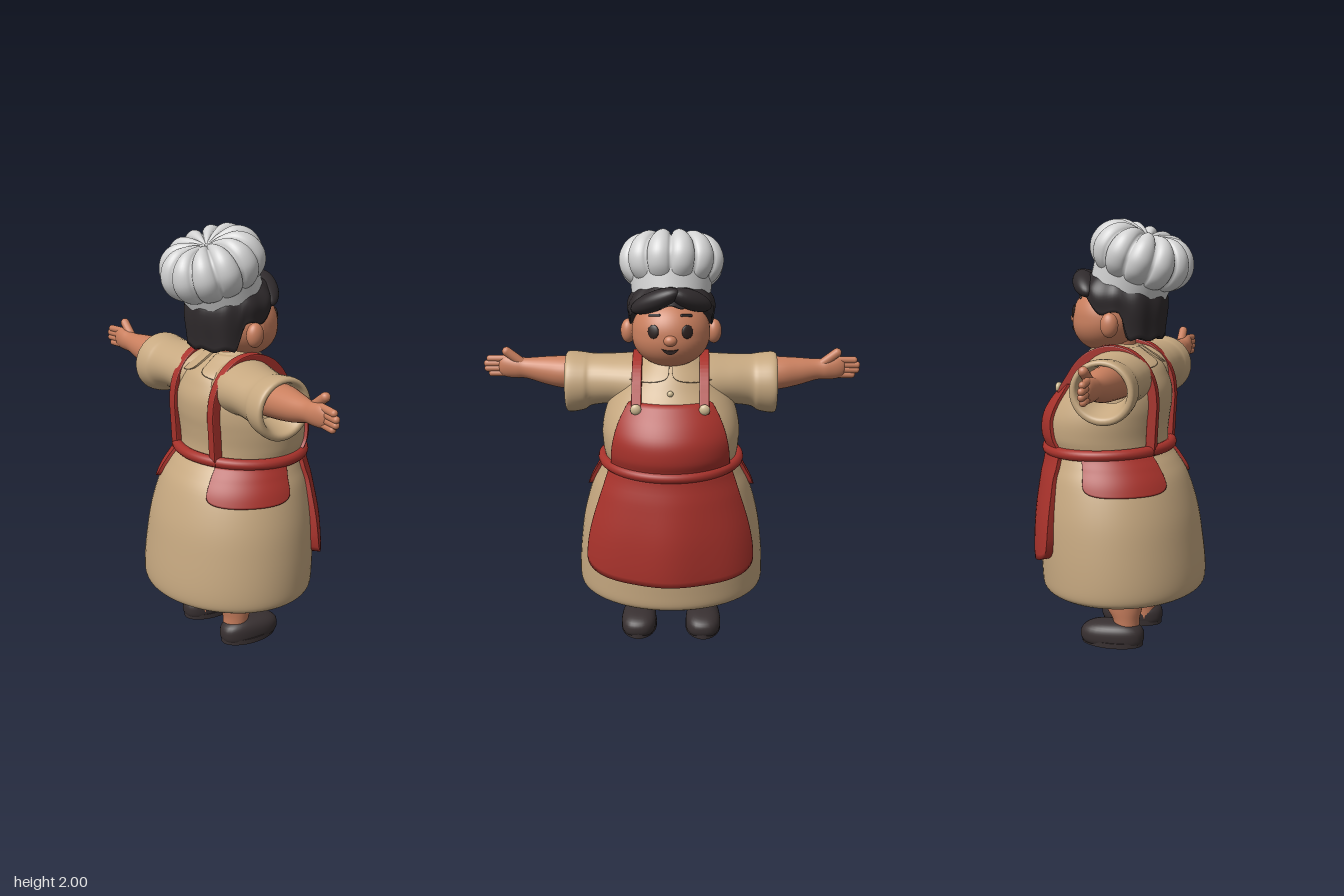
import * as THREE from 'three';
import { mergeVertices } from 'three/addons/utils/BufferGeometryUtils.js';

const { sin, cos, abs, PI, min, max, sqrt, asin, pow } = Math;
const ss = THREE.MathUtils.smoothstep;
const mat = (name, color) => Object.assign(new THREE.MeshStandardMaterial({ color }), { name });

// Smooth surface from fn(u, v) -> [x, y, z]; du x dv points outward
function grid(nu, nv, fn) {
  const pos = [], idx = [];
  for (let j = 0; j <= nv; j++) for (let i = 0; i <= nu; i++) pos.push(...fn(i / nu, j / nv));
  for (let j = 0; j < nv; j++) for (let i = 0; i < nu; i++) {
    const a = j * (nu + 1) + i, c = a + nu + 1;
    idx.push(a, a + 1, c + 1, a, c + 1, c);
  }
  let g = new THREE.BufferGeometry();
  g.setAttribute('position', new THREE.Float32BufferAttribute(pos, 3));
  g.setIndex(idx);
  g = mergeVertices(g, 1e-5);
  g.computeVertexNormals();
  return g;
}

// Catmull-Rom sample of table rows, k in 0..1
function at(rows, k) {
  const n = rows.length - 1, f = min(max(k, 0), 1) * n, i = min(Math.floor(f), n - 1), t = f - i;
  const [p, a, b, q] = [max(i - 1, 0), i, i + 1, min(i + 2, n)].map(m => rows[m]);
  return a.map((_, m) => 0.5 * (2 * a[m] + (b[m] - p[m]) * t + (2 * p[m] - 5 * a[m] + 4 * b[m] - q[m]) * t * t
    + (3 * a[m] - p[m] - 3 * b[m] + q[m]) * t * t * t));
}

// Lofts along y: [y, rx, rz, cx, cz], and along x: [x, ry, rz, cy, cz]
const loftY = (rows, nu, nv) => grid(nu, nv, (u, v) => {
  const [y, rx, rz, cx, cz] = at(rows, v), a = u * 2 * PI;
  return [cx + rx * sin(a), y, cz + rz * cos(a)];
});
const loftX = (rows, nu, nv) => grid(nu, nv, (u, v) => {
  const [x, ry, rz, cy, cz] = at(rows, v), a = u * 2 * PI;
  return [x, cy + ry * cos(a), cz + rz * sin(a)];
});

// Dress profile: height, half width, front, back
const dressRows = [
  [0.26, 0.415, 0.335, -0.38], [0.285, 0.442, 0.362, -0.406], [0.36, 0.447, 0.37, -0.41], [0.5, 0.437, 0.378, -0.395],
  [0.65, 0.415, 0.378, -0.37], [0.8, 0.373, 0.362, -0.322], [0.88, 0.335, 0.345, -0.275], [0.94, 0.308, 0.34, -0.23],
  [1.0, 0.315, 0.36, -0.222], [1.08, 0.32, 0.355, -0.23], [1.15, 0.31, 0.32, -0.24], [1.22, 0.285, 0.265, -0.24],
  [1.28, 0.25, 0.215, -0.222], [1.34, 0.2, 0.175, -0.19], [1.39, 0.14, 0.13, -0.12], [1.43, 0.09, 0.09, -0.06],
].map(([y, w, f, b]) => [y, w, (f - b) / 2, 0, (f + b) / 2]);

function dressAt(y) {
  let lo = 0, hi = 1;
  for (let i = 0; i < 24; i++) { const m = (lo + hi) / 2; if (at(dressRows, m)[0] < y) lo = m; else hi = m; }
  return at(dressRows, lo);
}
function onDress(phi, y, off) {
  const [, rx, rz, , cz] = dressAt(y);
  return [(rx + off) * sin(phi), y, cz + (rz + off) * cos(phi)];
}

// Cloth panel lying on the dress, with rounded lower corners and turned-in edges
function panel(yTop, yBot, corner, phiAt, off) {
  const nu = 36, nv = 22, inner = (k, n) => min(max((k * n - 1) / (n - 2), 0), 1);
  return grid(nu, nv, (u, v) => {
    const s = sin((inner(u, nu) - 0.5) * PI), edge = u === 0 || u === 1 || v === 0 || v === 1;
    const yb = yBot + corner * (1 - pow(max(0, 1 - pow(abs(s), 4)), 0.25));
    const y = yb + (yTop - yb) * inner(v, nv);
    return onDress(phiAt(s, y), y, edge ? -0.012 : off(s, y));
  });
}

function mirror(g) {
  const m = g.clone().scale(-1, 1, 1);
  if (!m.index) m.setIndex([...Array(m.attributes.position.count).keys()]);
  const a = m.index.array;
  for (let i = 0; i < a.length; i += 3) { const t = a[i]; a[i] = a[i + 1]; a[i + 1] = t; }
  return m;
}
const ball = (x, y, z, rx, ry, rz) => new THREE.SphereGeometry(1, 28, 20).scale(rx, ry, rz).translate(x, y, z);
function capsule(a, b, r) {
  const A = new THREE.Vector3(...a), B = new THREE.Vector3(...b), d = B.clone().sub(A);
  const q = new THREE.Quaternion().setFromUnitVectors(new THREE.Vector3(0, 1, 0), d.clone().normalize());
  const mid = A.add(B).multiplyScalar(0.5);
  return new THREE.CapsuleGeometry(r, d.length(), 6, 14).applyQuaternion(q).translate(mid.x, mid.y, mid.z);
}

export function createModel() {
  const cloth = mat('tan cloth', 0xc6a880), red = mat('red apron', 0xa8322b), skin = mat('skin', 0xc97f5e);
  const hairM = mat('dark hair', 0x2f2a2c), shoeM = mat('shoe leather', 0x383031), white = mat('hat white', 0xd2d2d2);
  const dark = mat('face dark', 0x2c201e), cream = mat('cream button', 0xd0bc94);
  const chef = new THREE.Group();
  chef.name = 'chef';
  const add = (name, g, m, parent = chef) => {
    const mesh = new THREE.Mesh(g, m);
    mesh.name = name;
    parent.add(mesh);
    return mesh;
  };
  const pair = (name, g, m) => { add(name + 'Left', g, m); add(name + 'Right', mirror(g), m); };

  // Dress with closed hem
  add('dress', loftY(dressRows, 64, 75), cloth);
  const hem = dressRows[0];
  add('dressUnderside', new THREE.CircleGeometry(1, 64).rotateX(PI / 2).scale(hem[1], 1, hem[2]).translate(0, 0.262, hem[4]), cloth);

  // Hollow rolled sleeves
  pair('sleeve', loftX([
    [0.02, 0.12, 0.14, 1.27, -0.02], [0.14, 0.13, 0.165, 1.28, -0.035], [0.27, 0.117, 0.15, 1.285, -0.055],
    [0.37, 0.122, 0.138, 1.277, -0.068], [0.41, 0.136, 0.146, 1.268, -0.07], [0.47, 0.145, 0.15, 1.265, -0.07],
    [0.493, 0.138, 0.143, 1.265, -0.07], [0.493, 0.118, 0.122, 1.268, -0.07], [0.46, 0.105, 0.11, 1.275, -0.072],
    [0.39, 0.085, 0.09, 1.29, -0.08],
  ], 40, 54), cloth);

  // Arms and hands
  pair('arm', loftX([
    [0.34, 0.085, 0.09, 1.3, -0.085], [0.5, 0.078, 0.083, 1.305, -0.087], [0.6, 0.066, 0.065, 1.31, -0.098],
    [0.69, 0.05, 0.044, 1.318, -0.107], [0.74, 0.053, 0.04, 1.322, -0.11], [0.79, 0.052, 0.031, 1.325, -0.113],
    [0.82, 0.035, 0.018, 1.325, -0.115], [0.825, 0, 0, 1.325, -0.115],
  ], 28, 35), skin);
  for (let i = 0; i < 4; i++) {
    const y = 1.29 + i * 0.024, tip = [0.86, 0.88, 0.882, 0.868][i];
    pair('finger' + (i + 1), capsule([0.78, y + 0.001, -0.113], [tip, y - 0.002, -0.122], 0.0165), skin);
  }
  pair('thumb', capsule([0.71, 1.345, -0.1], [0.782, 1.402, -0.095], 0.022), skin);

  // Legs and shoes
  pair('leg', loftY([[0.04, 0.06, 0.06, 0.145, -0.08], [0.12, 0.064, 0.064, 0.145, -0.076],
    [0.18, 0.075, 0.088, 0.14, -0.064], [0.27, 0.08, 0.104, 0.137, -0.055], [0.36, 0.085, 0.105, 0.135, -0.05]], 28, 20), skin);
  const shoe = new THREE.SphereGeometry(1, 32, 24), sp = shoe.attributes.position;
  for (let i = 0; i < sp.count; i++) {
    const x = sp.getX(i), y = sp.getY(i), z = sp.getZ(i), box = 1 / pow(pow(abs(x), 2.6) + pow(abs(y), 2.6) + pow(abs(z), 2.6), 1 / 2.6);
    const wide = 0.085 + 0.01 * z;
    sp.setXYZ(i, 0.16 + x * box * wide, max(0.008, 0.045 + y * box * (0.068 - 0.006 * z)), -0.012 + z * box * 0.154);
  }
  shoe.computeVertexNormals();
  pair('shoe', shoe, shoeM);
  pair('sole', new THREE.CylinderGeometry(1, 1, 0.025, 36).scale(0.088, 1, 0.15).translate(0.16, 0.0125, -0.012), shoeM);

  // Apron: skirt, bib, side flaps
  const skirtW = y => 0.27 + 0.09 * sin(min(1, max(0, 0.92 - y) / 0.42) * PI / 2);
  add('apronSkirt', panel(0.93, 0.415, 0.11, (s, y) => asin(min(0.97, s * skirtW(y) / dressAt(y)[1])),
    (s, y) => 0.02 + 0.016 * ss(0.93 - y, 0.1, 0.5) + 0.005 * cos(s * 7) * ss(0.93 - y, 0, 0.4)), red);
  const bibW = y => 0.26 - 0.08 * pow(max(0, (y - 0.94) / 0.305), 2.5);
  add('apronBib', panel(1.245, 0.94, 0, (s, y) => asin(s * bibW(y) / dressAt(y)[1]), () => 0.016), red);
  pair('apronFlap', panel(0.93, 0.77, 0.07, s => 2.04 + s * 0.57, () => 0.018), red);

  // Waistband
  const ring = [];
  for (let i = 0; i < 40; i++) {
    const a = i / 40 * 2 * PI, p = onDress(a, 0.94, 0.008);
    ring.push(new THREE.Vector3(p[0], 0.942 - 0.01 * cos(a), p[2]));
  }
  add('waistband', new THREE.TubeGeometry(new THREE.CatmullRomCurve3(ring, true), 90, 0.026, 12, true), red);

  // Shoulder straps, cut from a side outline
  const path = new THREE.CatmullRomCurve3([[0.25, 1.21], [0.205, 1.28], [0.165, 1.34], [0.11, 1.39], [0.03, 1.423],
    [-0.04, 1.425], [-0.11, 1.402], [-0.17, 1.35], [-0.212, 1.27], [-0.226, 1.18], [-0.222, 1.08], [-0.215, 0.94],
  ].map(([z, y]) => new THREE.Vector3(z, y, 0)));
  const outer = [], innerPts = [];
  for (let i = 0; i <= 40; i++) {
    const p = path.getPoint(i / 40), t = path.getTangent(i / 40);
    outer.push(new THREE.Vector2(p.x, p.y));
    innerPts.unshift(new THREE.Vector2(p.x - t.y * 0.035, p.y + t.x * 0.035));
  }
  const strap = new THREE.ExtrudeGeometry(new THREE.Shape([...outer, ...innerPts]),
    { depth: 0.036, bevelThickness: 0.005, bevelSize: 0.005, bevelSegments: 2 });
  pair('strap', strap.rotateY(-PI / 2).translate(0.172, 0, 0), red);
  pair('strapButton', ball(0.155, 1.225, 0.252, 0.025, 0.025, 0.016), cream);

  // Collar and neck
  pair('collar', panel(1.415, 1.325, 0.06, s => 1.52 + s * 1.48, () => 0.016), cloth);
  add('collarButton', ball(0, 1.287, 0.213, 0.014, 0.014, 0.012), cream);
  add('neck', new THREE.CylinderGeometry(0.085, 0.09, 0.14, 28).translate(0, 1.43, 0.015), skin);

  // Head with full cheeks
  const head = new THREE.SphereGeometry(1, 48, 36), hp = head.attributes.position;
  for (let i = 0; i < hp.count; i++) {
    const x = hp.getX(i), y = hp.getY(i), z = hp.getZ(i), low = max(0, -y);
    hp.setXYZ(i, x * (0.179 + 0.012 * low), 1.545 + y * 0.16, 0.055 + z * 0.17 + 0.02 * low);
  }
  head.computeVertexNormals();
  add('head', head, skin);
  add('nose', ball(0, 1.535, 0.22, 0.03, 0.025, 0.026), skin);
  pair('ear', ball(0.198, 1.527, -0.01, 0.036, 0.057, 0.042), skin);
  pair('eye', ball(0, 0, 0, 0.027, 0.031, 0.008).rotateY(0.42).rotateX(-0.15).translate(0.076, 1.573, 0.205), dark);
  pair('eyebrow', capsule([0.05, 1.642, 0.182], [0.093, 1.638, 0.164], 0.006), hairM);
  const smile = new THREE.Shape();
  smile.moveTo(-0.038, 1.498);
  smile.quadraticCurveTo(0, 1.486, 0.038, 1.498);
  smile.quadraticCurveTo(0, 1.448, -0.038, 1.498);
  add('mouth', new THREE.ExtrudeGeometry(smile, { depth: 0.007, bevelEnabled: false }).translate(0, 0, 0.221), dark);

  // Hair shell, long at the back and open at the face
  add('hair', grid(96, 26, (u, v) => {
    const a = u * 2 * PI, c = cos(a), t = max(0, (v * 26 - 1) / 25);
    const yb = 1.458 + 0.12 * ss(c, -0.5, -0.25) + 0.1 * ss(c, 0.2, 0.75) + 0.008 * cos(11 * a);
    const y = yb + (1.79 - yb) * sin(t * PI / 2), h = max(0, (y - 1.62) / 0.17);
    let r = sqrt(max(0, 1 - h * h)) * (1 + 0.022 * cos(11 * a)) * (0.94 + 0.06 * ss(t, 0, 0.3));
    if (v === 0) r *= 0.72;
    if (v === 1) r = 0;
    return [0.207 * r * sin(a), y, 0.22 * r * c];
  }), hairM);
  add('fringeLeft', ball(0, 0, 0, 0.11, 0.045, 0.055).rotateZ(-0.4).rotateY(0.5).translate(0.09, 1.705, 0.145), hairM);
  add('fringeRight', ball(0, 0, 0, 0.13, 0.045, 0.055).rotateZ(0.42).rotateY(-0.45).translate(-0.07, 1.7, 0.15), hairM);

  // Tilted hat with twelve puffs
  const hat = new THREE.Group();
  hat.name = 'hat';
  hat.position.set(0, 1.82, -0.1);
  hat.rotation.x = -0.35;
  chef.add(hat);
  add('hatBand', new THREE.CylinderGeometry(0.192, 0.18, 0.11, 48).translate(0, -0.108, 0.012), white, hat);
  const puff = [[-0.1, 0.165], [-0.085, 0.2], [-0.04, 0.236], [0.025, 0.246], [0.095, 0.215], [0.135, 0.15], [0.128, 0.07], [0.1, 0]];
  add('hatPuff', grid(144, 35, (u, v) => {
    const a = u * 2 * PI, [y, r] = at(puff, v);
    const f = 0.87 + 0.13 * pow(abs(sin(6 * a)), 0.6), k = y > 0 ? 1 + (f - 1) * 1.6 * min(1, r / 0.12) : 1;
    return v === 1 ? [0, y, 0] : [r * f * sin(a), y * k, r * f * cos(a)];
  }), white, hat);

  // Figure faces +x
  chef.rotation.y = PI / 2;
  const model = new THREE.Group();
  model.name = 'cook';
  model.add(chef);
  return model;
}
